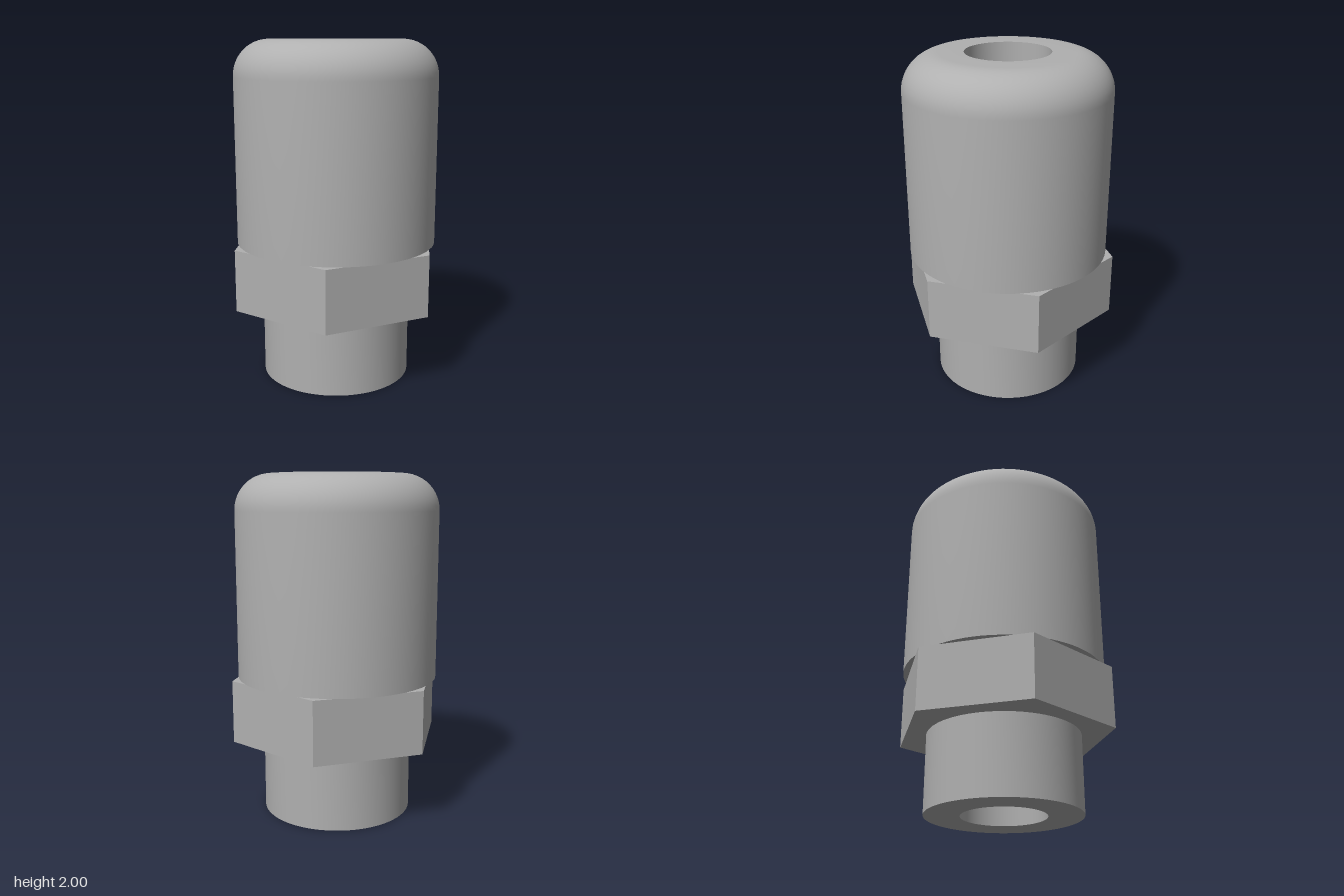
import * as THREE from 'three';
import { toCreasedNormals } from 'three/addons/utils/BufferGeometryUtils.js';

const BORE = 0.242, SEGMENTS = 72;

export function createModel() {
  const group = new THREE.Group();
  const grey = new THREE.MeshStandardMaterial({ color: 0xb0b0b0 });
  grey.name = 'grey';

  const add = (name, geometry) => {
    const mesh = new THREE.Mesh(geometry, grey);
    mesh.name = name;
    group.add(mesh);
  };

  // Revolved ring whose inner wall is the through bore
  const ring = (name, bottom, top, outer) => {
    const points = [[BORE, bottom], ...outer, [BORE, top], [BORE, bottom]]
      .map(([x, y]) => new THREE.Vector2(x, y));
    add(name, toCreasedNormals(new THREE.LatheGeometry(points, SEGMENTS), 0.5));
  };

  // Lower stem
  ring('stem', 0, 0.45, [[0.443, 0], [0.443, 0.45]]);

  // Hexagonal nut with corners on the x axis
  const hex = new THREE.Shape();
  for (let i = 0; i < 6; i++) {
    const a = (i * Math.PI) / 3;
    hex[i ? 'lineTo' : 'moveTo'](0.64 * Math.cos(a), 0.64 * Math.sin(a));
  }
  hex.closePath();
  hex.holes.push(new THREE.Path().absarc(0, 0, BORE, 0, Math.PI * 2, true));
  const nut = new THREE.ExtrudeGeometry(hex, {
    depth: 0.367, bevelEnabled: false, curveSegments: SEGMENTS / 2,
  });
  nut.rotateX(-Math.PI / 2).translate(0, 0.45, 0);
  add('hexNut', toCreasedNormals(nut, 0.5));

  // Cap with a rounded shoulder
  const R = 0.592, F = 0.21;
  const outer = [[R, 0.817]];
  for (let i = 0; i <= 12; i++) {
    const a = (i / 12) * Math.PI / 2;
    outer.push([R - F + F * Math.cos(a), 2 - F + F * Math.sin(a)]);
  }
  ring('roundedCap', 0.817, 2, outer);

  return group;
}
